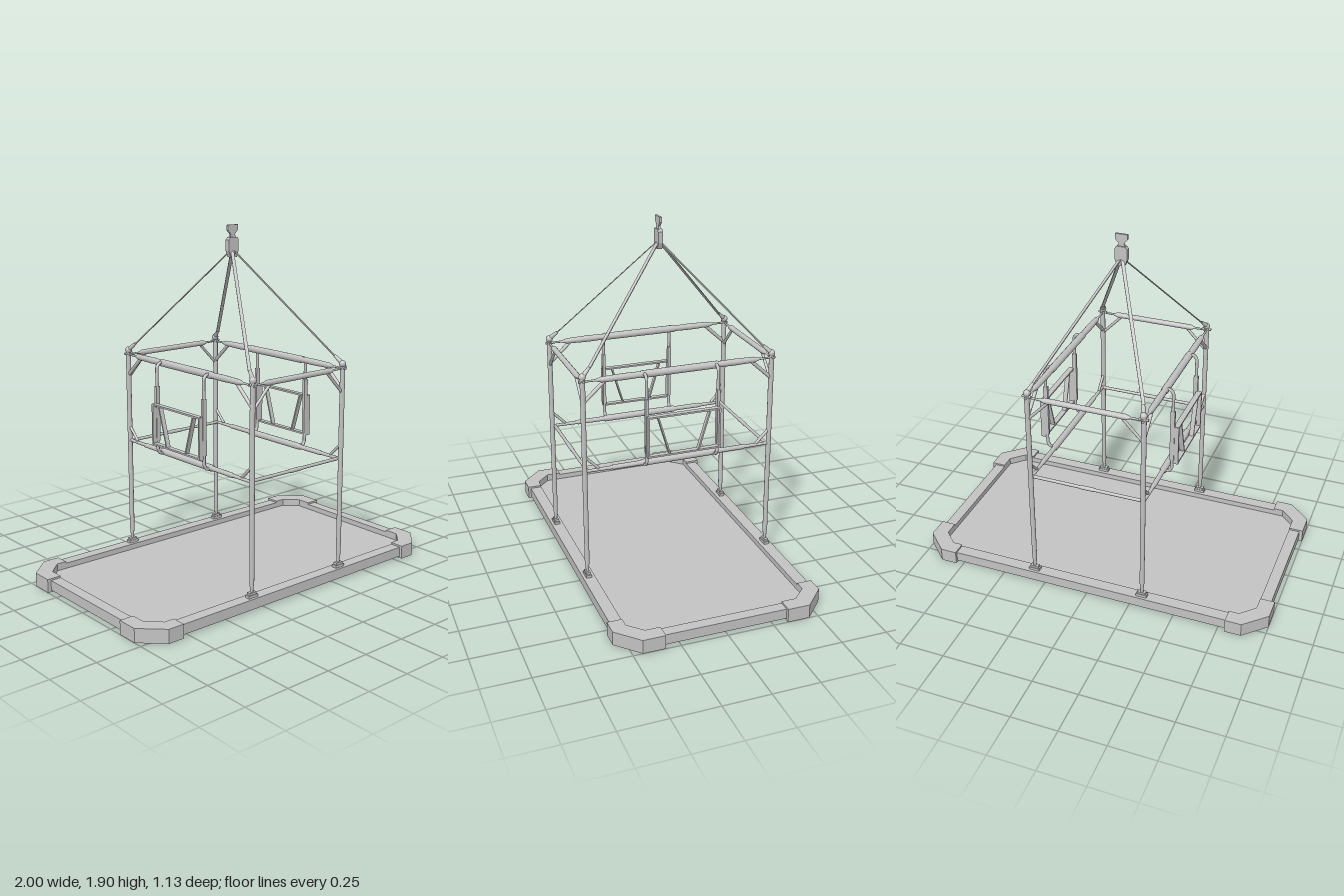
import * as THREE from 'three';

const grey = new THREE.MeshStandardMaterial({ color: 0xc2c2c2 });
grey.name = 'plain grey';
const UP = new THREE.Vector3(0, 1, 0);
const V = (x, y, z) => new THREE.Vector3(x, y, z);

export function createModel() {
  const model = new THREE.Group();
  model.name = 'liftingFrame';

  const add = (name, geometry, pos) => {
    const mesh = new THREE.Mesh(geometry, grey);
    mesh.name = name;
    if (pos) mesh.position.copy(pos);
    model.add(mesh);
    return mesh;
  };
  const box = (name, w, h, d, x, y, z) => add(name, new THREE.BoxGeometry(w, h, d), V(x, y, z));

  // Round bar between two points
  const bar = (name, a, b, r0, r1 = r0) => {
    const dir = b.clone().sub(a);
    const mesh = add(name, new THREE.CylinderGeometry(r1, r0, dir.length(), 12), a.clone().add(b).multiplyScalar(0.5));
    mesh.quaternion.setFromUnitVectors(UP, dir.normalize());
    return mesh;
  };

  // Turned bar along x, y or z, from [position, radius] pairs on its axis
  const turned = (name, axis, profile, pos) => {
    const pts = profile.map(([t, r]) => new THREE.Vector2(r, t));
    const mesh = add(name, new THREE.LatheGeometry(pts, 12), pos);
    if (axis === 'x') mesh.rotation.z = -Math.PI / 2;
    if (axis === 'z') mesh.rotation.x = Math.PI / 2;
    return mesh;
  };
  const bothWays = (half) => [...half.map(([t, r]) => [-t, r]), ...half.slice().reverse()];

  // Flat plate outline lying in the ground plane, raised from y0 to y1
  const outline = (pts) => new THREE.Shape(pts.map(([x, z]) => new THREE.Vector2(x, z)));
  const slab = (name, shape, y0, y1) => {
    const mesh = add(name, new THREE.ExtrudeGeometry(shape, { depth: y1 - y0, bevelEnabled: false }), V(0, y0, 0));
    mesh.rotation.x = -Math.PI / 2;
  };
  const octagon = (x, z, c) => [
    [x, z - c], [x - c, z], [c - x, z], [-x, z - c], [-x, c - z], [c - x, -z], [x - c, -z], [x, c - z],
  ];

  // Base tray: rim, recessed floor and corner blocks
  const rim = outline(octagon(0.98, 0.55, 0.11));
  rim.holes.push(outline(octagon(0.92, 0.485, 0.075)));
  slab('baseRim', rim, 0.01, 0.065);
  slab('baseFloor', outline(octagon(0.925, 0.49, 0.075)), 0.02, 0.035);

  const sides = [1, -1];
  for (const sx of sides) {
    for (const sz of sides) {
      const P = (x, y, z) => V(sx * x, y, sz * z);
      const block = [
        [1, 0.33], [1, 0.45], [0.88, 0.565], [0.79, 0.565],
        [0.79, 0.485], [0.845, 0.485], [0.92, 0.41], [0.92, 0.33],
      ];
      slab('cornerBlock', outline(block.map(([x, z]) => [sx * x, sz * z])), 0, 0.075);

      // Leg with tapered bottom, and its foot
      turned('leg', 'y', [[0.07, 0.008], [0.1, 0.008], [0.15, 0.013], [1.19, 0.014], [1.2, 0]], P(0.315, 0, 0.52));
      box('foot', 0.06, 0.02, 0.03, sx * 0.315, 0.07, sz * 0.52);
      box('footCap', 0.045, 0.012, 0.024, sx * 0.315, 0.086, sz * 0.52);

      // Corner eye, shackle and pin
      add('cornerEye', new THREE.SphereGeometry(0.019, 12, 8), P(0.313, 1.195, 0.52));
      bar('shackle', P(0.312, 1.2, 0.515), P(0.296, 1.235, 0.478), 0.013, 0.008);
      bar('cornerPin', P(0.34, 1.175, 0.52), P(0.29, 1.175, 0.52), 0.007);
      bar('cornerPin', P(0.315, 1.17, 0.54), P(0.315, 1.17, 0.5), 0.007);

      // Diagonal braces
      bar('frontBrace', P(0.315, 1.04, 0.52), P(0.2, 1.16, 0.52), 0.008);
      bar('sideBrace', P(0.315, 1.055, 0.52), P(0.315, 1.165, 0.4), 0.01);
      bar('lowerBrace', P(0.315, 0.76, 0.52), P(0.315, 0.685, 0.445), 0.008);

      // Flat lifting strap, wide across its run
      const low = P(0.297, 1.232, 0.478), top = P(0.006, 1.765, 0.006);
      const along = top.clone().sub(low);
      const across = V(-along.z, 0, along.x).normalize();
      const strap = add('strap', new THREE.BoxGeometry(0.018, along.length(), 0.005),
        low.clone().add(top).multiplyScalar(0.5));
      along.normalize();
      strap.quaternion.setFromRotationMatrix(
        new THREE.Matrix4().makeBasis(across, along, across.clone().cross(along)));

      // Side frame post, bent in to the rails
      const path = new THREE.CurvePath();
      const bends = [[0.32, 1.175], [0.345, 1.175], [0.36, 1.155], [0.36, 0.7], [0.345, 0.675], [0.32, 0.675]];
      for (let i = 1; i < bends.length; i++) {
        path.add(new THREE.LineCurve3(P(...bends[i - 1], 0.197), P(...bends[i], 0.197)));
      }
      add('sidePost', new THREE.TubeGeometry(path, 60, 0.009, 8));
      box('sidePostSleeve', 0.024, 0.3, 0.016, sx * 0.36, 0.9, sz * 0.197);
      box('panelPost', 0.03, 0.225, 0.01, sx * 0.38, 0.843, sz * 0.197);

      // Sloping bar of the side panel
      const slope = box('panelSlope', 0.025, 0.225, 0.008, sx * 0.38, 0.846, sz * 0.112);
      slope.rotation.x = sz * Math.atan2(0.065, 0.215);
    }

    // Long rails with thicker middle sleeves
    turned('upperSideRail', 'z', bothWays([[0.52, 0], [0.52, 0.005], [0.45, 0.006], [0.42, 0.015],
      [0.3, 0.018], [0.21, 0.016], [0.21, 0.02]]), V(sx * 0.315, 1.17, 0));
    turned('lowerSideRail', 'z', bothWays([[0.52, 0], [0.52, 0.008], [0.37, 0.01], [0.37, 0.013],
      [0.21, 0.013], [0.21, 0.018]]), V(sx * 0.315, 0.677, 0));

    // Panel cross bars
    box('panelTopBar', 0.03, 0.009, 0.4, sx * 0.38, 0.954, 0);
    box('panelBottomBar', 0.03, 0.009, 0.4, sx * 0.38, 0.737, 0);

    // Short rails across the front and back
    turned('upperEndRail', 'x', bothWays([[0.315, 0], [0.315, 0.005], [0.245, 0.006], [0.22, 0.015]]),
      V(0, 1.17, sx * 0.52));
    turned('lowerEndRail', 'x', bothWays([[0.315, 0], [0.315, 0.009], [0.04, 0.009], [0.04, 0.011]]),
      V(0, 0.677, sx * 0.505));
  }

  // Lifting block and the hook plate above it
  const plate = (name, half, depth) => {
    const pts = [...half, ...half.slice().reverse().map(([x, y]) => [-x, y])];
    add(name, new THREE.ExtrudeGeometry(outline(pts), { depth, bevelEnabled: false }), V(0, 0, -depth / 2));
  };
  plate('liftingBlock', [[0.02, 1.73], [0.034, 1.765], [0.034, 1.822], [0.024, 1.835]], 0.026);
  plate('hookPlate', [[0.024, 1.825], [0.014, 1.85], [0.034, 1.872], [0.034, 1.9]], 0.012);

  return model;
}
